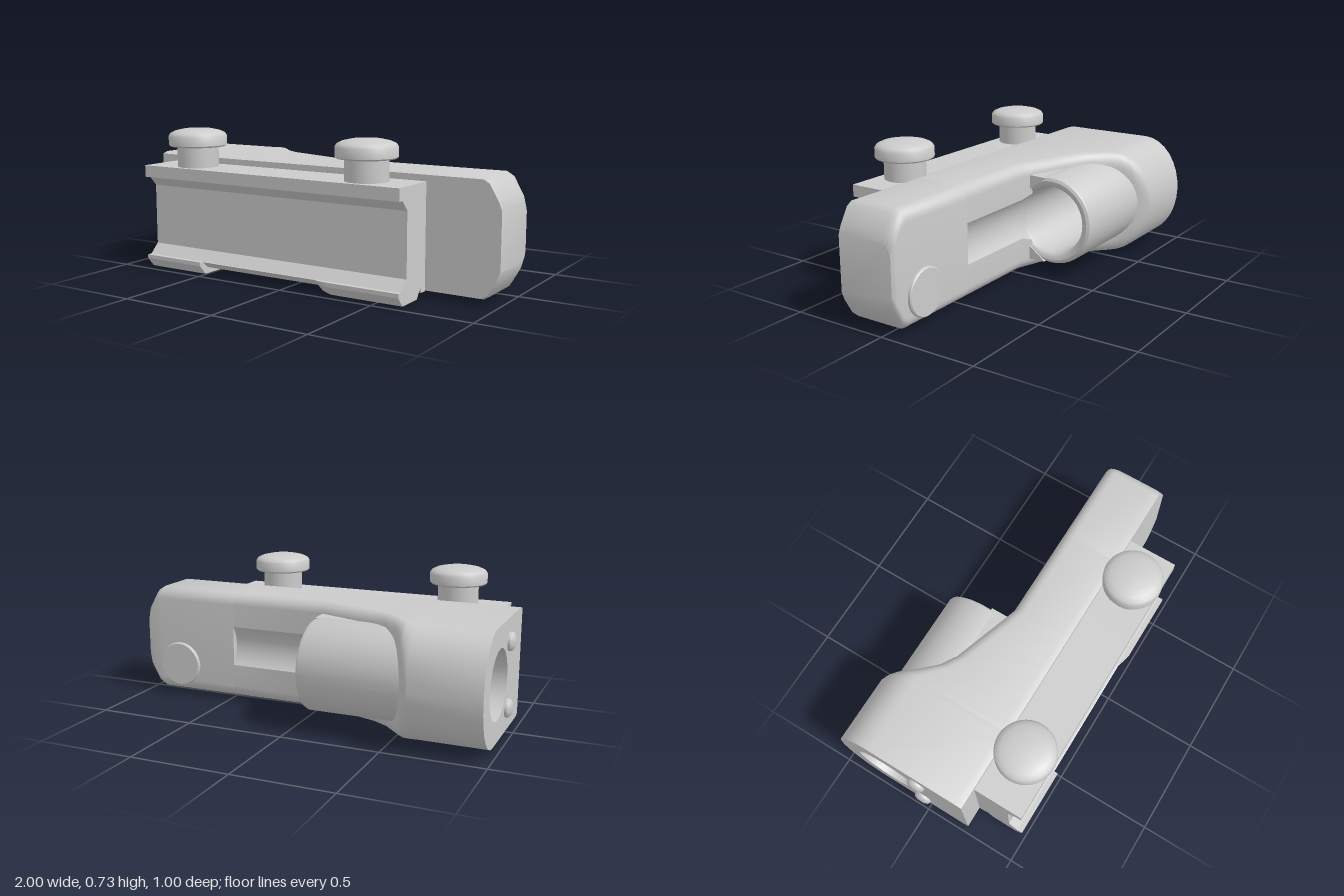
import * as THREE from 'three';
import { mergeGeometries, toCreasedNormals } from 'three/addons/utils/BufferGeometryUtils.js';

const material = new THREE.MeshStandardMaterial({ color: 0xcccccc, side: THREE.DoubleSide });
const MID = 0.3;      // height of the optical axis
const AXIS_Z = -0.22; // depth of the optical axis
const BORE = 0.17;

function addMesh(parent, name, geometry, crease = 0.6) {
  const mesh = new THREE.Mesh(toCreasedNormals(geometry, crease), material);
  mesh.name = name;
  parent.add(mesh);
  return mesh;
}

// Flat end plate at x from [y, z] points, optionally pierced by the bore
function cap(points, x, pierced) {
  const shape = new THREE.Shape(points.map(([y, z]) => new THREE.Vector2(y, z)));
  if (pierced) shape.holes.push(new THREE.Path().absarc(MID, AXIS_Z, BORE, 0, Math.PI * 2, true));
  const g = new THREE.ShapeGeometry(shape, 20);
  g.applyMatrix4(new THREE.Matrix4().makeBasis(
    new THREE.Vector3(0, 1, 0), new THREE.Vector3(0, 0, 1), new THREE.Vector3(1, 0, 0)));
  g.translate(x, 0, 0);
  if (!pierced) return g.toNonIndexed();
  const i = g.index.array; // a pierced plate faces -x
  for (let k = 0; k < i.length; k += 3) [i[k], i[k + 1]] = [i[k + 1], i[k]];
  return g.toNonIndexed();
}

// Skin over cross-sections [{x, points}], listed towards +x
function loft(sections, caps) {
  const pos = [];
  const put = (s, j) => {
    const [y, z] = s.points[j % s.points.length];
    pos.push(s.x, y, z);
  };
  for (let i = 0; i + 1 < sections.length; i++) {
    const a = sections[i], b = sections[i + 1];
    for (let j = 0; j < a.points.length; j++) {
      put(a, j); put(a, j + 1); put(b, j + 1);
      put(a, j); put(b, j + 1); put(b, j);
    }
  }
  const skin = new THREE.BufferGeometry();
  skin.setAttribute('position', new THREE.Float32BufferAttribute(pos, 3));
  const parts = [skin, ...caps];
  parts.forEach((p) => { p.deleteAttribute('uv'); p.deleteAttribute('normal'); });
  return mergeGeometries(parts);
}

// Housing cross-section: flat at +z, rounded corners at -z, optional round groove
function housing(x, back, half = 0.28, groove = 0) {
  const d = Math.pow((-back - 0.085) / 0.415, 4);
  const ry = 0.06 + 0.22 * Math.max(d, 0), rz = 0.06 + 0.15 * Math.max(d, 0);
  const p = [[half, 0.19], [half - 0.01, 0.225], [-half + 0.01, 0.225], [-half, 0.19]];
  const corner = [];
  for (let k = 0; k <= 8; k++) {
    const t = (k / 8) * Math.PI / 2;
    corner.push([-(half - ry) - ry * Math.cos(t), back + rz - rz * Math.sin(t)]);
  }
  p.push(...corner);
  if (groove) {
    const a0 = Math.acos(THREE.MathUtils.clamp((AXIS_Z - back) / groove, -1, 1));
    for (let k = 0; k <= 20; k++) {
      const t = a0 + (k / 20) * 2 * (Math.PI - a0);
      p.push([-groove * Math.sin(t), AXIS_Z - groove * Math.cos(t)]);
    }
  }
  p.push(...corner.reverse().map(([y, z]) => [-y, z]));
  return { x, points: p.map(([y, z]) => [y + MID, z]) };
}

function lathe(profile, segments = 36) {
  return new THREE.LatheGeometry(profile.map(([r, y]) => new THREE.Vector2(r, y)), segments);
}

export function createModel() {
  const model = new THREE.Group();
  model.name = 'reflexSight';

  // Tall rear housing around the bore
  const rear = [[-0.97, -0.5], [-0.62, -0.5], [-0.59, -0.475], [-0.56, -0.43]].map(([x, b]) => housing(x, b));
  addMesh(model, 'rearHousing', loft(rear, [cap(rear[0].points, -0.97, true)]));

  // Scooped middle with the sight channel
  const middle = [[-0.56, -0.43], [-0.53, -0.375], [-0.5, -0.33], [-0.43, -0.25], [-0.35, -0.2], [-0.2, -0.15],
    [-0.07, -0.107], [-0.06, -0.104], [0, -0.085], [0.47, -0.085]]
    .map(([x, b]) => housing(x, b, 0.28, x < -0.065 ? 0.2 : BORE));
  addMesh(model, 'middleHousing', loft(middle, []));

  // Low front end with a clipped nose
  const nose = [[0.47, -0.085, 0.28], [0.91, -0.085, 0.28], [0.94, -0.085, 0.262],
    [0.985, -0.082, 0.185], [1, -0.07, 0.145]].map(([x, b, h]) => housing(x, b, h));
  addMesh(model, 'frontHousing', loft(nose, [cap(nose[0].points, 0.47), cap(nose[4].points, 1)]));

  // Lens tube, open at both ends
  const tube = addMesh(model, 'lensTube', lathe([[0.228, -0.9], [0.228, -0.07], [0.222, -0.057], [0.208, -0.05],
    [0.19, -0.054], [0.177, -0.065], [BORE, -0.085], [BORE, -0.97]], 40));
  tube.rotation.z = -Math.PI / 2;
  tube.position.set(0, MID, AXIS_Z);

  // Fillets where the tube meets the housing
  for (const s of [1, -1]) {
    const tri = [[0.225, -0.07], [0.15, -0.095], [0.222, -0.19]].map(([y, z]) => [MID + s * y, z]);
    if (s < 0) tri.reverse();
    const ends = [{ x: -0.35, points: tri }, { x: -0.045, points: tri }];
    addMesh(model, 'tubeFillet', loft(ends, [cap(tri, -0.045)]));
  }

  // Clamp rail: two hooked feet with a shallower span between
  const upper = [[0.54, 0.22], [0.54, 0.48], [0.48, 0.48], [0.48, 0.45], [0.43, 0.405], [0.12, 0.405], [0.07, 0.455]];
  const foot = [[0.07, 0.48], [0.05, 0.48], [0.004, 0.44], [0.004, 0.305]];
  const span = [[0.068, 0.46], [0.06, 0.45], [0.035, 0.42], [0.035, 0.305]];
  const root = [[0.05, 0.27], [0.026, 0.26], [0.026, 0.22]];
  const rail = [[-0.86, foot], [-0.505, foot], [-0.505, span], [0.17, span], [0.2, [[0.069, 0.47], [0.055, 0.465],
    [0.015, 0.43], [0.015, 0.305]]], [0.25, foot], [0.63, foot]]
    .map(([x, low]) => ({ x, points: [...upper, ...low, ...root] }));
  addMesh(model, 'clampRail', loft(rail, [cap(rail[0].points, -0.86), cap(rail[6].points, 0.63)]), 0.3);

  // Clamp knobs
  for (const x of [-0.61, 0.39]) {
    const knob = addMesh(model, 'clampKnob', lathe([[0.104, 0.52], [0.104, 0.645], [0.14, 0.645], [0.147, 0.652],
      [0.147, 0.697], [0.138, 0.711], [0.115, 0.722], [0.075, 0.731], [0, 0.736]]));
    knob.position.set(x, 0, 0.353);
  }

  // Adjuster covers on the underside and the back
  const cover = () => lathe([[0.107, 0], [0.107, 0.012], [0.102, 0.017], [0, 0.017]]);
  const lowerCover = addMesh(model, 'lowerAdjuster', cover());
  lowerCover.rotation.x = Math.PI;
  lowerCover.position.set(-0.56, 0.02, 0.025);
  const backCover = addMesh(model, 'backAdjuster', cover());
  backCover.rotation.x = -Math.PI / 2;
  backCover.scale.setScalar(1.1);
  backCover.position.set(0.795, 0.17, -0.083);

  // Round-headed screws on the rear face
  for (const y of [0.463, 0.137]) {
    const screw = addMesh(model, 'rearScrew', lathe([[0.046, 0], [0.046, 0.012], [0.038, 0.022], [0.022, 0.028], [0, 0.03]], 24));
    screw.rotation.z = Math.PI / 2;
    screw.position.set(-0.97, y, -0.035);
  }
  return model;
}
